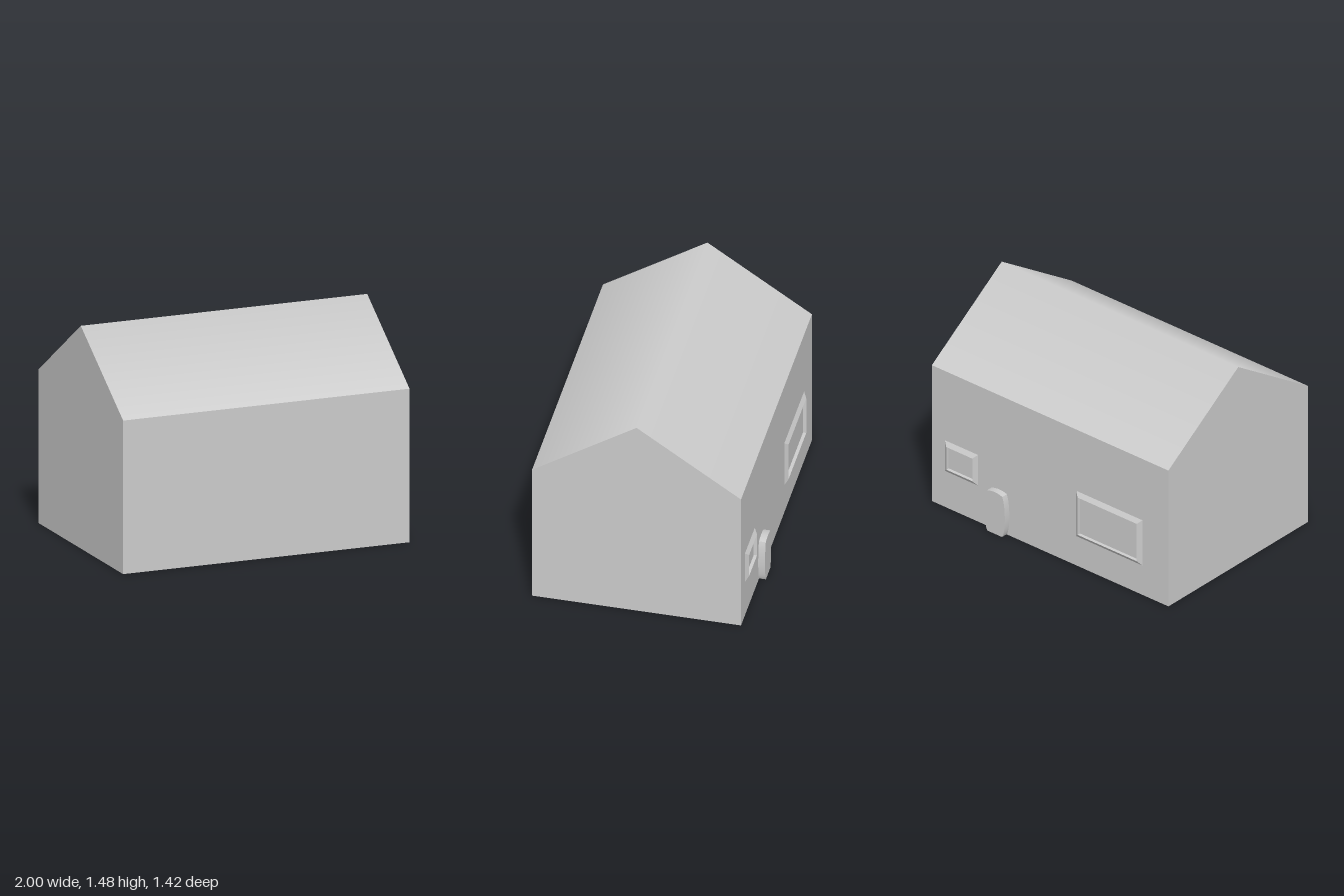
import * as THREE from 'three';
import { toCreasedNormals } from 'three/addons/utils/BufferGeometryUtils.js';

const BACK = -0.667, FRONT = 0.71, EAVE = 1.02, RIDGE = 1.48;
const material = new THREE.MeshStandardMaterial({ color: 0xcccccc });

function addMesh(group, name, geometry) {
  const mesh = new THREE.Mesh(geometry, material);
  mesh.name = name;
  group.add(mesh);
}

// Gabled block: the end profile swept along x, with the roof shaded smoothly over the ridge
function houseShell() {
  const profile = new THREE.Shape([
    [BACK, 0], [FRONT, 0], [FRONT, EAVE], [(FRONT + BACK) / 2, RIDGE], [BACK, EAVE],
  ].map(([z, y]) => new THREE.Vector2(z, y)));
  const geo = new THREE.ExtrudeGeometry(profile, { depth: 2, bevelEnabled: false });
  geo.rotateY(-Math.PI / 2).translate(1, 0, 0);
  const { position, normal } = geo.attributes;
  for (let i = 0; i < position.count; i++) {
    if (position.getY(i) > RIDGE - 0.01 && normal.getY(i) > 0.5) normal.setXYZ(i, 0, 1, 0);
  }
  return geo;
}

// Window frame: sloping outside, sharp rim, straight inside
function windowFrame(x0, x1, y0, y1) {
  const loop = (inset, z) => [
    [x0 + inset, y0 + inset, z], [x1 - inset, y0 + inset, z],
    [x1 - inset, y1 - inset, z], [x0 + inset, y1 - inset, z],
  ];
  const loops = [loop(0, BACK), loop(0.03, BACK - 0.021), loop(0.032, BACK)];
  const points = [];
  for (let k = 0; k < 2; k++) {
    for (let i = 0; i < 4; i++) {
      const j = (i + 1) % 4, a = loops[k], b = loops[k + 1];
      points.push(...a[i], ...b[i], ...b[j], ...a[i], ...b[j], ...a[j]);
    }
  }
  const geo = new THREE.BufferGeometry();
  geo.setAttribute('position', new THREE.Float32BufferAttribute(points, 3));
  geo.computeVertexNormals();
  return geo;
}

// Door slab with bowed sides and a slightly arched top
function door() {
  const shape = new THREE.Shape();
  shape.moveTo(-0.062, 0);
  shape.lineTo(0.062, 0);
  shape.bezierCurveTo(0.093, 0.04, 0.093, 0.23, 0.064, 0.302);
  shape.quadraticCurveTo(0, 0.324, -0.064, 0.302);
  shape.bezierCurveTo(-0.093, 0.23, -0.093, 0.04, -0.062, 0);
  const geo = new THREE.ExtrudeGeometry(shape, { depth: 0.045, bevelEnabled: false, curveSegments: 12 });
  geo.translate(0.43, 0, BACK - 0.045);
  return toCreasedNormals(geo, 0.6);
}

export function createModel() {
  const group = new THREE.Group();
  group.name = 'house';
  addMesh(group, 'houseShell', houseShell());
  addMesh(group, 'largeWindowFrame', windowFrame(-0.78, -0.22, 0.22, 0.56));
  addMesh(group, 'smallWindowFrame', windowFrame(0.61, 0.89, 0.27, 0.5));
  addMesh(group, 'door', door());
  return group;
}
